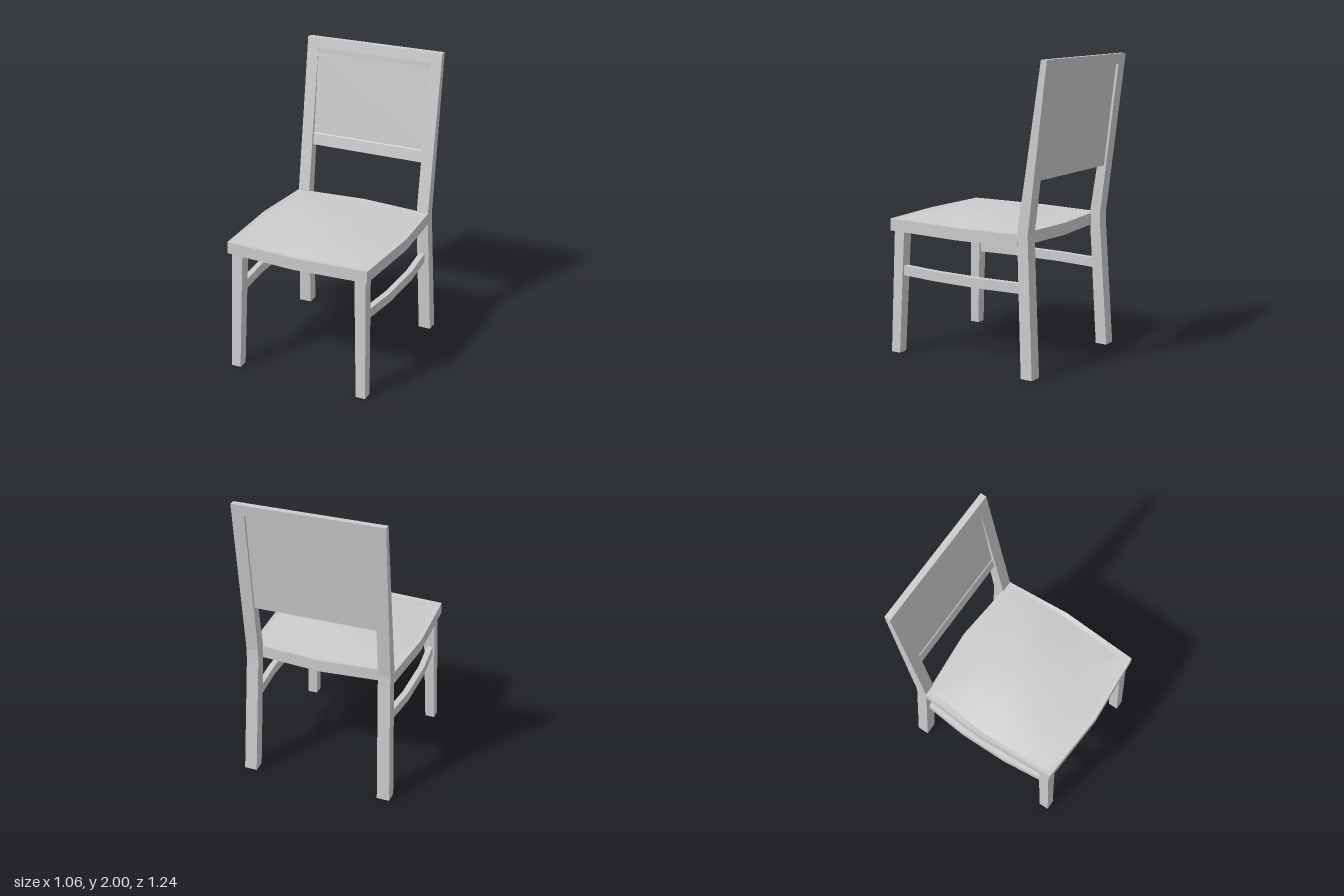
import * as THREE from 'three';
import { toCreasedNormals } from 'three/addons/utils/BufferGeometryUtils.js';

const material = new THREE.MeshStandardMaterial({ color: 0xcccccc });

// Skin a list of equal-length rings of [x, y, z] and cap both ends.
// Ring winding faces back along the direction of travel.
function loft(name, rings, smooth = false) {
  const pos = [];
  const tri = (...pts) => pts.forEach((p) => pos.push(...p));
  const n = rings[0].length;
  const centre = (ring) => [0, 1, 2].map((k) => ring.reduce((s, p) => s + p[k], 0) / n);
  const first = rings[0], last = rings[rings.length - 1];
  const c0 = centre(first), c1 = centre(last);
  for (let j = 0; j < n; j++) {
    const k = (j + 1) % n;
    for (let i = 0; i + 1 < rings.length; i++) {
      const a = rings[i], b = rings[i + 1];
      tri(a[j], b[j], b[k]);
      tri(a[j], b[k], a[k]);
    }
    tri(c0, first[j], first[k]);
    tri(c1, last[k], last[j]);
  }
  let geometry = new THREE.BufferGeometry();
  geometry.setAttribute('position', new THREE.Float32BufferAttribute(pos, 3));
  geometry.computeVertexNormals();
  if (smooth) geometry = toCreasedNormals(geometry, 0.4);
  const mesh = new THREE.Mesh(geometry, material);
  mesh.name = name;
  return mesh;
}

// Horizontal rectangle at height y; side -1 mirrors it in x
function rect(y, xa, xb, z0, z1, side = 1) {
  const x0 = Math.min(xa * side, xb * side), x1 = Math.max(xa * side, xb * side);
  return [[x0, y, z0], [x1, y, z0], [x1, y, z1], [x0, y, z1]];
}

// Eight-point seat outline whose four edges bow at the middle
function seatRing(y, yMid, hx, midX, back, midBack, front, midFront) {
  return [
    [-hx, y, back], [0, yMid, midBack], [hx, y, back], [midX, yMid, 0.04],
    [hx, y, front], [0, yMid, midFront], [-hx, y, front], [-midX, yMid, 0.04],
  ];
}

// Front and back surfaces of the leaning posts above the seat
const postFront = (y) => -0.412 - 0.168 * (y - 0.92) / 1.08;
const postBack = (y) => -0.49 - 0.132 * (y - 0.92) / 1.08;

export function createModel() {
  const chair = new THREE.Group();
  chair.name = 'chair';

  // Seat: recessed underside, bowed rim and gently raised top
  const outer = [0.5, 0.53, -0.412, -0.455, 0.59, 0.622];
  const inset = [0.46, 0.5, -0.385, -0.415, 0.545, 0.585];
  chair.add(loft('seat', [
    seatRing(0.848, 0.848, ...inset),
    seatRing(0.835, 0.835, ...inset),
    seatRing(0.835, 0.835, ...outer),
    seatRing(0.915, 0.915, ...outer),
    seatRing(0.915, 0.907, ...inset),
    seatRing(0.95, 0.95, 0.27, 0.27, -0.18, -0.18, 0.36, 0.36),
  ], true));

  for (const side of [1, -1]) {
    const label = side > 0 ? 'left' : 'right';

    // Front leg, splayed towards the foot
    chair.add(loft(label + 'FrontLeg', [
      rect(0, 0.43, 0.497, 0.527, 0.596, side),
      rect(0.849, 0.402, 0.48, 0.49, 0.568, side),
    ]));

    // Rear leg continuing into the leaning back post
    chair.add(loft(label + 'RearLegAndPost', [
      rect(0, 0.437, 0.524, -0.54, -0.458, side),
      rect(0.84, 0.415, 0.498, -0.492, -0.415, side),
      rect(0.92, 0.415, 0.498, postBack(0.92), postFront(0.92), side),
      rect(2, 0.415, 0.498, postBack(2), postFront(2), side),
    ]));

    // Side stretcher, bowed outwards
    const path = [[0.52, 0.43], [0.22, 0.462], [-0.13, 0.465], [-0.45, 0.435]];
    chair.add(loft(label + 'Stretcher', path.map(([z, x]) => {
      const x0 = side > 0 ? x : -x - 0.04, x1 = x0 + 0.04;
      return [[x0, 0.535, z], [x1, 0.535, z], [x1, 0.6, z], [x0, 0.6, z]];
    })));
  }

  // Backrest panel: [height, back z, front z], recessed below a flush top rail
  const panel = [
    [1.25, -0.515, -0.48],
    [1.33, -0.523, -0.493],
    [1.335, -0.524, -0.5],
    [1.9, -0.592, postFront(1.9) - 0.003],
    [1.93, -0.596, postFront(1.93)],
    [1.93, postBack(1.93), postFront(1.93)],
    [2, postBack(2), postFront(2)],
  ];
  chair.add(loft('backrestPanel', panel.map(([y, z0, z1]) => rect(y, -0.415, 0.415, z0, z1))));

  return chair;
}
